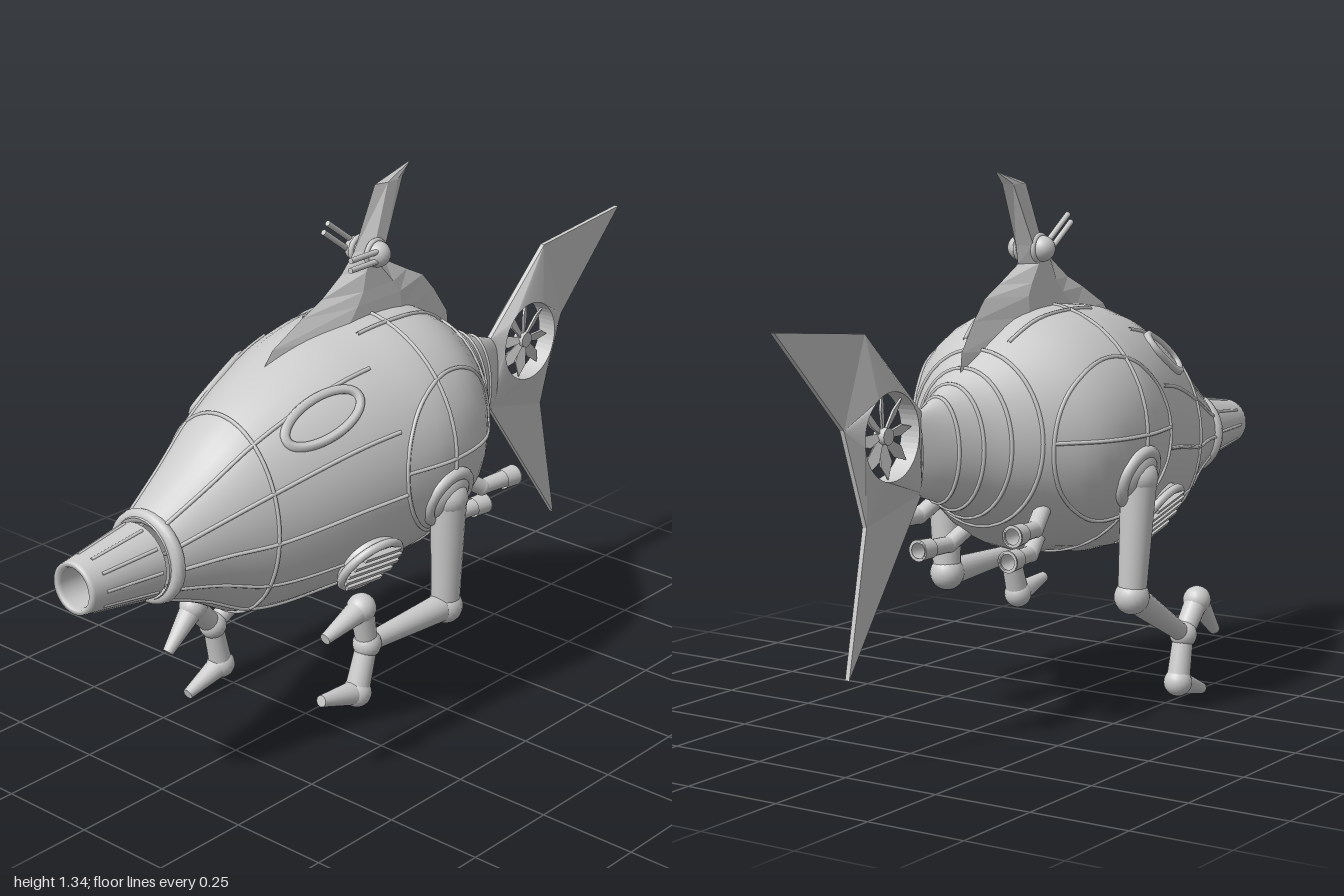
import * as THREE from 'three';

const V = (x, y, z) => new THREE.Vector3(x, y, z);
const smooth = new THREE.MeshStandardMaterial({ color: 0xcccccc, side: THREE.DoubleSide });
const flat = new THREE.MeshStandardMaterial({ color: 0xcccccc, side: THREE.DoubleSide, flatShading: true });

// Hull stations: x, then centre height, half height, half width
const stations = [
  [-0.79, 0.64, 0.098, 0.09], [-0.65, 0.657, 0.172, 0.14], [-0.53, 0.667, 0.247, 0.185],
  [-0.3, 0.707, 0.307, 0.262], [-0.15, 0.724, 0.316, 0.3], [-0.05, 0.736, 0.309, 0.312],
  [0.1, 0.74, 0.285, 0.28], [0.2, 0.742, 0.225, 0.205], [0.3, 0.733, 0.165, 0.115],
  [0.38, 0.732, 0.127, 0.065], [0.47, 0.73, 0.096, 0.02],
];
const hull = new THREE.CubicInterpolant(stations.map(s => s[0]), stations.flatMap(s => s.slice(1)), 3);

// Point on the hull at station x and angle a (0 = +z side, PI/2 = top)
function onHull(x, a) {
  const [yc, ry, rz] = hull.evaluate(x);
  return V(x, yc + ry * Math.sin(a), rz * Math.cos(a));
}
// Point on the hull flank seen at (x, y)
function onFlank(x, y, s) {
  const [yc, ry, rz] = hull.evaluate(x);
  const k = THREE.MathUtils.clamp((y - yc) / ry, -1, 1);
  return V(x, y, s * rz * Math.sqrt(1 - k * k));
}

function add(parent, name, geo, mat = smooth) {
  const m = new THREE.Mesh(geo, mat);
  m.name = name;
  parent.add(m);
  return m;
}
function ball(parent, name, p, r) {
  return add(parent, name, new THREE.SphereGeometry(r, 20, 14).translate(p.x, p.y, p.z));
}
// Tapered rod from a to b
function rod(parent, name, a, b, ra, rb, open = false) {
  const d = b.clone().sub(a);
  const m = add(parent, name, new THREE.CylinderGeometry(rb, ra, d.length(), 18, 1, open));
  m.position.copy(a).addScaledVector(d, 0.5);
  m.quaternion.setFromUnitVectors(V(0, 1, 0), d.normalize());
  return m;
}
function tube(parent, name, pts, r, closed = false, segs = 48) {
  const c = new THREE.CatmullRomCurve3(pts, closed, 'centripetal');
  return add(parent, name, new THREE.TubeGeometry(c, segs, r, 6, closed));
}
// Skin over closed rings of equal point count
function loft(rings) {
  const n = rings[0].length, idx = [];
  for (let i = 0; i < rings.length - 1; i++)
    for (let j = 0; j < n; j++) {
      const a = i * n + j, b = i * n + (j + 1) % n;
      idx.push(a, a + n, b, b, a + n, b + n);
    }
  const g = new THREE.BufferGeometry().setFromPoints(rings.flat());
  g.setIndex(idx);
  g.computeVertexNormals();
  return g;
}
const range = (n, f) => Array.from({ length: n }, (_, i) => f(i));
const mix = THREE.MathUtils.lerp;

function makeBody(root) {
  const g = new THREE.Group();
  g.name = 'body';
  root.add(g);
  add(g, 'hull', loft(range(43, i => range(32, j => onHull(mix(-0.79, 0.47, i / 42), j / 32 * Math.PI * 2)))));

  // Panel seams: hoops, long lines and round flank panels
  for (const x of [-0.53, -0.05, 0.22, 0.275, 0.33, 0.385])
    tube(g, 'hoopSeam', range(32, j => onHull(x, j / 32 * Math.PI * 2)), 0.005, true, 64);
  for (const s of [1, -1]) {
    for (const a of [0.95, 0.4, -0.1, -0.6, -1.1])
      tube(g, 'longSeam', range(14, i => onHull(mix(-0.77, -0.2, i / 13), s > 0 ? a : Math.PI - a)), 0.005);
    tube(g, 'topSeam', range(10, i => onHull(mix(-0.15, 0.18, i / 9), Math.PI / 2 - s * 0.29)), 0.005);
    tube(g, 'sideSeam', range(10, i => onFlank(mix(-0.2, 0.2, i / 9), 0.74, s)), 0.005);
    tube(g, 'panelSeam', range(32, i => {
      const t = i / 32 * Math.PI * 2;
      return onFlank(0.2 * Math.cos(t), 0.73 + 0.2 * Math.sin(t), s);
    }), 0.005, true, 64);
    // Oval window rim
    tube(g, 'windowRim', range(24, i => {
      const t = i / 24 * Math.PI * 2, u = 0.105 * Math.cos(t), v = 0.036 * Math.sin(t), c = 0.94, k = 0.34;
      return onFlank(-0.365 + u * c - v * k, 0.9 + u * k + v * c, s);
    }), 0.012, true, 64);
    // Round slatted vent
    const vent = new THREE.Group(), p = onFlank(-0.257, 0.515, s);
    vent.name = 'vent';
    vent.position.copy(p);
    vent.quaternion.setFromUnitVectors(V(0, 0, 1), V(-0.1, -0.56, s * 0.82).normalize());
    g.add(vent);
    add(vent, 'ventPlate', new THREE.CylinderGeometry(0.082, 0.082, 0.03, 32).rotateX(Math.PI / 2));
    add(vent, 'ventRim', new THREE.TorusGeometry(0.082, 0.011, 8, 32)).position.z = 0.012;
    for (let i = -2; i <= 2; i++)
      add(vent, 'ventSlat', new THREE.BoxGeometry(2 * Math.sqrt(0.0062 - (i * 0.028) ** 2), 0.013, 0.02))
        .position.set(0, i * 0.028, 0.018);
  }
}

function makeNose(root) {
  const g = new THREE.Group();
  g.name = 'nose';
  g.position.y = 0.64;
  root.add(g);
  const profile = [[0.048, -0.8], [0.048, -0.99], [0.052, -1], [0.062, -1], [0.064, -0.99], [0.092, -0.8]];
  add(g, 'nozzle', new THREE.LatheGeometry(profile.map(p => new THREE.Vector2(...p)), 28).rotateZ(-Math.PI / 2));
  add(g, 'collar', new THREE.TorusGeometry(0.098, 0.017, 10, 32).rotateY(Math.PI / 2)).position.x = -0.77;
  add(g, 'innerWall', new THREE.CircleGeometry(0.06, 24).rotateY(-Math.PI / 2)).position.x = -0.84;
  for (let i = 0; i < 10; i++) {
    const a = (i + 0.5) / 10 * Math.PI * 2, c = Math.cos(a), s = Math.sin(a);
    rod(g, 'rib', V(-0.96, 0.067 * c, 0.067 * s), V(-0.81, 0.09 * c, 0.09 * s), 0.004, 0.004);
  }
}

function makeDorsalFin(root) {
  // Levels: height, leading x, trailing x, half thickness
  const levels = [
    [0.9, -0.42, 0.29, 0.05], [0.95, -0.41, 0.285, 0.05], [1.02, -0.35, 0.235, 0.045], [1.07, -0.25, 0.19, 0.04],
    [1.1, -0.18, 0.13, 0.036], [1.145, -0.11, 0.045, 0.031], [1.19, -0.065, 0.053, 0.027],
    [1.34, 0.01, 0.112, 0.011], [1.37, 0.13, 0.14, 0.002],
  ];
  add(root, 'dorsalFin', loft(levels.map(([y, a, b, t]) => [
    V(b, y, 0), V(mix(a, b, 0.7), y, t), V(mix(a, b, 0.35), y, t),
    V(a, y, 0), V(mix(a, b, 0.35), y, -t), V(mix(a, b, 0.7), y, -t),
  ])), flat);
  // Ball turrets with twin barrels, the far pair raised
  for (const s of [1, -1]) {
    const c = V(-0.015, 1.18, s * 0.032);
    ball(root, 'turret', c, 0.032);
    add(root, 'turretRing', new THREE.TorusGeometry(0.032, 0.007, 8, 24)).position.set(c.x, c.y, s * 0.025);
    const d = s > 0 ? V(-1, 0.03, 0.05) : V(-0.8, 0.6, -0.05);
    for (const k of [-0.012, 0.012]) {
      const a = c.clone().add(V(-d.y * k, d.x * k, s * 0.012));
      rod(root, 'barrel', a, a.clone().addScaledVector(d, 0.118), 0.007, 0.007);
    }
  }
}

function makeTail(root) {
  const cx = 0.595, cy = 0.79, R = 0.103;
  const shape = new THREE.Shape([[0.455, 0.83], [0.67, 1.03], [0.99, 1.06], [0.75, 0.82], [0.67, 0.59], [0.74, 0.25], [0.455, 0.64]]
    .map(p => new THREE.Vector2(...p)));
  shape.holes.push(new THREE.Path().absarc(cx, cy, R, 0, Math.PI * 2, true));
  const geo = new THREE.ExtrudeGeometry(shape, { depth: 1, bevelEnabled: false, curveSegments: 24 });
  // Thick around the fan opening, thin at the outer edge
  const p = geo.attributes.position;
  for (let i = 0; i < p.count; i++) {
    const near = Math.hypot(p.getX(i) - cx, p.getY(i) - cy) < R + 0.01;
    p.setZ(i, (p.getZ(i) > 0.5 ? 1 : -1) * (near ? 0.026 : 0.006));
  }
  geo.computeVertexNormals();
  add(root, 'tailFin', geo, flat);

  const fan = new THREE.Group();
  fan.name = 'tailFan';
  fan.position.set(cx, cy, 0);
  root.add(fan);
  add(fan, 'fanHub', new THREE.CylinderGeometry(0.02, 0.02, 0.03, 20).rotateX(Math.PI / 2));
  const blade = new THREE.Shape([[0.012, -0.006], [0.06, -0.022], [0.102, -0.012], [0.07, 0.008], [0.012, 0.008]]
    .map(q => new THREE.Vector2(...q)));
  for (let i = 0; i < 8; i++) {
    const b = new THREE.ExtrudeGeometry(blade, { depth: 0.005, bevelEnabled: false }).rotateX(0.4).rotateZ(i * Math.PI / 4);
    add(fan, 'fanBlade', b, flat);
  }
}

function makeArm(root, s, turn) {
  const g = new THREE.Group();
  g.name = s > 0 ? 'frontArm' : 'backArm';
  root.add(g);
  const z = s * 0.275;
  // Shoulder socket
  const socket = new THREE.Group();
  socket.name = 'shoulder';
  socket.position.set(-0.05, 0.635, s * 0.285);
  socket.quaternion.setFromUnitVectors(V(0, 0, 1), V(0, -0.35, s * 0.94).normalize());
  g.add(socket);
  add(socket, 'socketRing', new THREE.TorusGeometry(0.067, 0.017, 10, 32));
  add(socket, 'socketDome', new THREE.SphereGeometry(0.066, 24, 14).scale(1, 1, 0.5));
  const shoulder = V(-0.05, 0.635, s * 0.288), elbow = V(-0.042, 0.34, z);
  ball(g, 'shoulderBall', shoulder, 0.048);
  rod(g, 'upperArm', shoulder, elbow, 0.045, 0.035);
  ball(g, 'elbow', elbow, 0.044);
  // Forearm and two-finger claw, swung about the elbow
  const c = Math.cos(turn), n = Math.sin(turn);
  const at = (x, y) => V(elbow.x + x * c - y * n, elbow.y + x * n + y * c, z);
  const wrist = at(-0.288, 0.005);
  rod(g, 'forearm', elbow, wrist, 0.036, 0.022);
  ball(g, 'wrist', wrist, 0.035);
  for (const [kx, ky, tx, ty] of [[-0.308, 0.105, -0.435, 0.07], [-0.325, -0.11, -0.45, -0.085]]) {
    const knuckle = at(kx, ky);
    rod(g, 'finger', wrist, knuckle, 0.026, 0.03);
    ball(g, 'knuckle', knuckle, 0.036);
    rod(g, 'fingerTip', knuckle, at(tx, ty), 0.031, 0.014);
  }
}

function makeExhausts(root) {
  for (const s of [1, -1])
    for (const [x, y, z] of [[0.34, 0.537, 0.18], [0.285, 0.463, 0.13]]) {
      const end = V(x, y, s * z), bend = V(x - 0.115, y, s * (z - 0.012));
      rod(root, 'exhaustStem', V(x - 0.21, y + 0.06, s * (z - 0.04)), bend, 0.021, 0.021);
      ball(root, 'exhaustBend', bend, 0.0215);
      rod(root, 'exhaustPipe', bend, end, 0.02, 0.022, true);
      rod(root, 'exhaustLip', V(x - 0.045, y, s * (z - 0.004)), end, 0.025, 0.027, true);
      add(root, 'exhaustRim', new THREE.RingGeometry(0.019, 0.027, 20).rotateY(Math.PI / 2)).position.copy(end);
    }
}

export function createModel() {
  const root = new THREE.Group();
  root.name = 'mechanicalFish';
  makeBody(root);
  makeNose(root);
  makeDorsalFin(root);
  makeTail(root);
  makeArm(root, 1, 0);
  makeArm(root, -1, Math.PI / 6);
  makeExhausts(root);
  return root;
}
